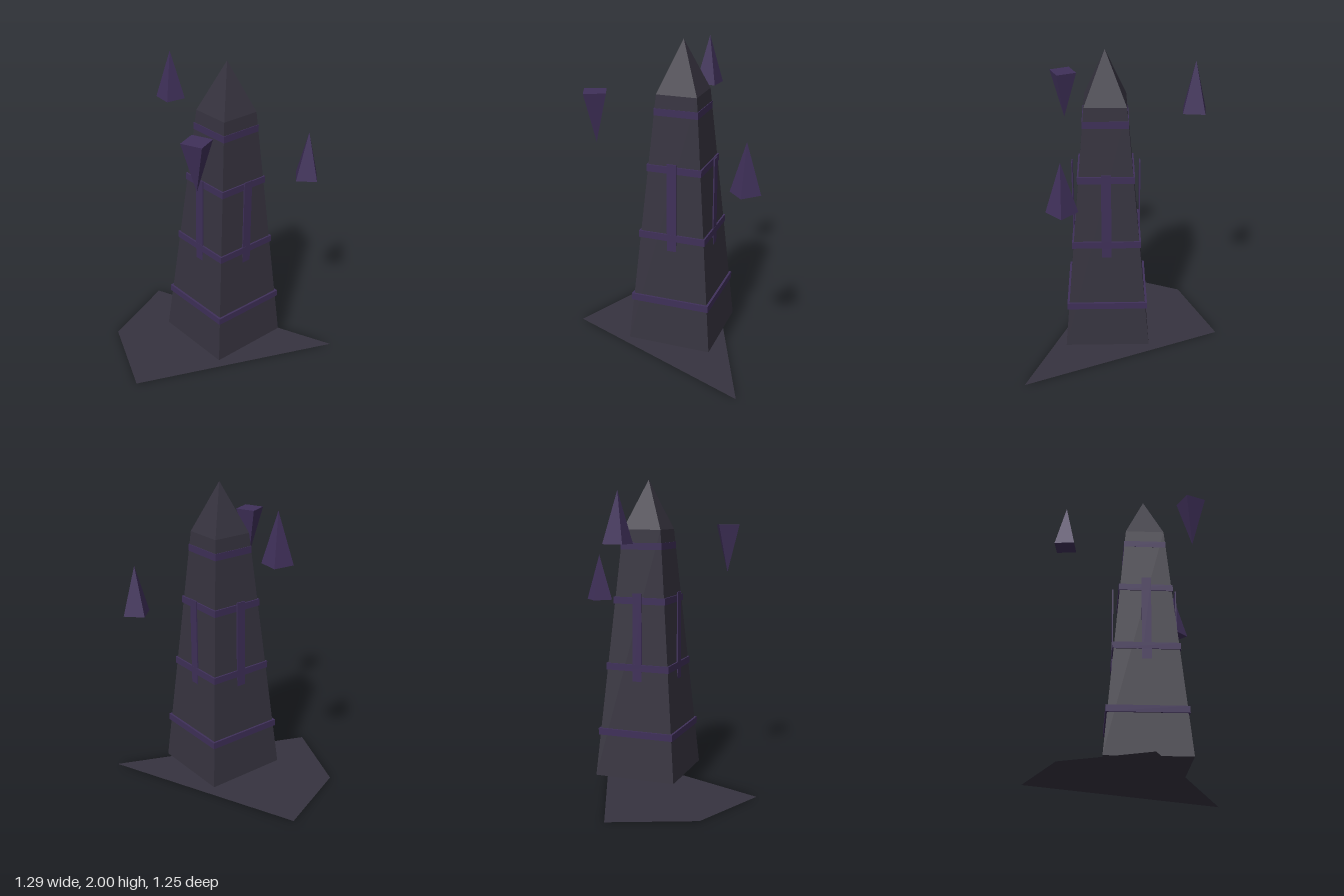
import * as THREE from 'three';

export function createModel() {
  const group = new THREE.Group();
  group.name = 'floatingObelisk';
  const stone = new THREE.MeshStandardMaterial({ color: 0x36333f, flatShading: true });
  const slab = new THREE.MeshStandardMaterial({ color: 0x36333f, side: THREE.DoubleSide });
  const glow = new THREE.MeshStandardMaterial({ color: 0x3f3059, flatShading: true });

  const add = (parent, name, geometry, material, x = 0, y = 0, z = 0) => {
    const mesh = new THREE.Mesh(geometry, material);
    mesh.name = name;
    mesh.position.set(x, y, z);
    parent.add(mesh);
    return mesh;
  };

  const tower = new THREE.Group();
  tower.name = 'obelisk';
  tower.position.set(0.0875, 0, 0.107);
  group.add(tower);

  // Tapered square shaft and pointed cap
  const baseY = 0.112, topY = 1.69, tipY = 2;
  const baseHalf = 0.265, topHalf = 0.126;
  const shaft = new THREE.CylinderGeometry(topHalf * Math.SQRT2, baseHalf * Math.SQRT2, topY - baseY, 4);
  add(tower, 'shaft', shaft.rotateY(Math.PI / 4), stone, 0, (baseY + topY) / 2, 0);
  const cap = new THREE.ConeGeometry(topHalf * Math.SQRT2, tipY - topY, 4);
  add(tower, 'cap', cap.rotateY(Math.PI / 4), stone, 0, (topY + tipY) / 2, 0);

  // Horizontal bands: height and half width
  for (const [y, half] of [[0.402, 0.251], [0.825, 0.211], [1.247, 0.173], [1.587, 0.1375]]) {
    add(tower, 'band', new THREE.BoxGeometry(half * 2, 0.043, half * 2), glow, 0, y, 0);
  }

  // Upright strip on each of the four faces
  for (let i = 0; i < 4; i++) {
    const side = new THREE.Group();
    side.name = 'stripSide';
    side.rotation.y = i * Math.PI / 2;
    add(side, 'strip', new THREE.BoxGeometry(0.06, 0.56, 0.008), glow, 0, 1.018, 0.206);
    tower.add(side);
  }

  // Broken ground slab: some corners of an octagon
  const corners = [45, 180, 225, 270].map((deg) => {
    const a = THREE.MathUtils.degToRad(deg);
    return new THREE.Vector2(Math.cos(a) * 0.735, -Math.sin(a) * 0.735);
  });
  const ground = new THREE.ShapeGeometry(new THREE.Shape(corners));
  add(tower, 'groundSlab', ground.rotateX(-Math.PI / 2), slab);

  // Floating four-sided shards: centre, turn, upside down
  const shards = [
    [-0.36, 1.563, 0.376, 68, true],
    [0.55, 1.351, 0.356, 0, false],
    [0.0775, 1.772, -0.42, 39, false],
  ];
  for (const [x, y, z, turn, flipped] of shards) {
    const shard = new THREE.ConeGeometry(0.093, 0.308, 4);
    if (flipped) shard.rotateX(Math.PI);
    add(group, 'shard', shard, glow, x, y, z).rotation.y = THREE.MathUtils.degToRad(turn);
  }

  return group;
}
